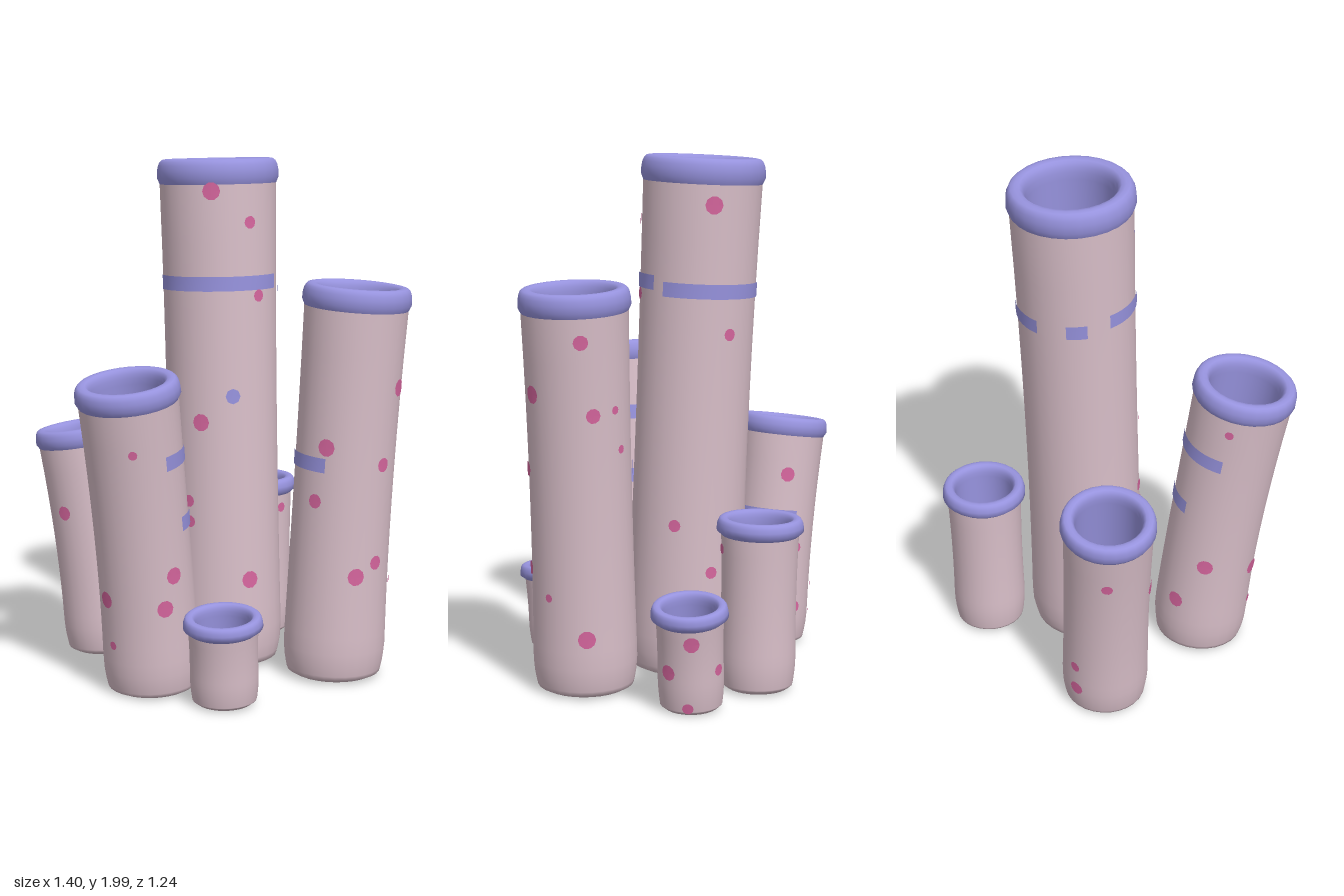
import * as THREE from 'three';
import { mergeVertices } from 'three/addons/utils/BufferGeometryUtils.js';

const material = (name, color) => Object.assign(new THREE.MeshStandardMaterial({ color }), { name });
const rad = THREE.MathUtils.degToRad;

// Outer body radius at height y: slightly waisted, rounded in at the foot
function bodyRadius({ r, h }, y) {
  const k = Math.min(0.15, 0.35 * h);
  const foot = 1 - 0.13 * (1 - Math.min(y / k, 1)) ** 2;
  return r * foot * (0.95 + 0.05 * (2 * y / h - 1) ** 2);
}

// Lean an upright geometry along the tube's curved axis, tilting its cross-sections too
function lean({ x0, z0, dx, dz, h }, geometry) {
  const p = geometry.attributes.position;
  for (let i = 0; i < p.count; i++) {
    const x = p.getX(i), y = p.getY(i), z = p.getZ(i);
    const s = Math.max(y / h, 0), f = s ** 1.3;
    const slope = 1.3 * s ** 0.3 / h;
    p.setXYZ(i, x + x0 + dx * f, y - slope * (dx * x + dz * z), z + z0 + dz * f);
  }
  geometry.computeVertexNormals();
  return geometry;
}

// Smooth lathe without a seam
function turned(t, profile) {
  const g = new THREE.LatheGeometry(profile, 28);
  g.deleteAttribute('uv');
  g.deleteAttribute('normal');
  return lean(t, mergeVertices(g, 1e-5));
}

// Wrap a flat patch onto the tube wall; 0 degrees faces the front, 90 faces +x
function wrapped(t, flat, degrees, y0) {
  const p = flat.attributes.position;
  for (let i = 0; i < p.count; i++) {
    const y = y0 + p.getY(i), r = bodyRadius(t, y) + 0.005;
    const a = rad(degrees) + p.getX(i) / t.r;
    p.setXYZ(i, r * Math.sin(a), y, r * Math.cos(a));
  }
  return lean(t, flat);
}

// Closed foot and outer wall up to the lip
function bodyGeometry(t, lipY) {
  const profile = [new THREE.Vector2(0, 0.018), new THREE.Vector2(bodyRadius(t, 0) * 0.9, 0.012)];
  for (let i = 0; i <= 14; i++) {
    const y = 0.025 + (lipY - 0.025) * (i / 14) ** 1.7;
    profile.push(new THREE.Vector2(bodyRadius(t, y), y));
  }
  return turned(t, profile);
}

// Rounded lip running down into the closed hollow
function lipGeometry(t, lipY) {
  const R = t.r + (t.h < 0.7 ? 0.015 : 0.008);
  const inner = R * 0.69, half = (R - inner) / 2, tall = t.h - lipY;
  const floor = Math.min(0.22, t.h * 0.35);
  const profile = [new THREE.Vector2(bodyRadius(t, lipY), lipY)];
  for (let i = 0; i <= 10; i++) {
    const a = Math.PI * i / 10, c = Math.cos(a);
    profile.push(new THREE.Vector2(
      inner + half + half * Math.sign(c) * Math.abs(c) ** 0.7,
      t.h - tall * 0.75 * (1 - Math.sin(a) ** 0.8)));
  }
  profile.push(
    new THREE.Vector2(inner, (floor + t.h) / 2), new THREE.Vector2(inner * 0.97, floor + 0.04),
    new THREE.Vector2(inner * 0.85, floor), new THREE.Vector2(0, floor));
  return turned(t, profile);
}

export function createModel() {
  const model = new THREE.Group();
  model.name = 'tubeCluster';
  const skin = material('paleMauve', 0xd9bfc9);
  const blue = material('periwinkle', 0x9793de);
  const pink = material('spotPink', 0xd6669e);

  const addPart = (group, name, geometry, mat) => {
    const mesh = new THREE.Mesh(geometry, mat);
    mesh.name = name;
    group.add(mesh);
  };

  // Foot at (x0, z0), top shifted by (dx, dz), height h, body radius r
  function tube(name, x0, z0, dx, dz, h, r) {
    const t = { x0, z0, dx, dz, h, r };
    const group = new THREE.Group();
    group.name = name;
    const lipY = h - 0.05 - 0.023 * h;
    addPart(group, 'body', bodyGeometry(t, lipY), skin);
    addPart(group, 'lipAndHollow', lipGeometry(t, lipY), blue);
    model.add(group);

    // Painted details, chained onto the tube
    const paint = {
      band(from, to, y) {
        const strip = new THREE.PlaneGeometry(rad(to - from) * r, 0.055, Math.ceil((to - from) / 8), 2);
        addPart(group, 'band', wrapped(t, strip, (from + to) / 2, y), blue);
        return paint;
      },
      spots(size, ...places) {
        for (const [angle, y] of places) {
          addPart(group, 'spot', wrapped(t, new THREE.CircleGeometry(size, 10), angle, y), pink);
        }
        return paint;
      },
      mark(angle, y) {
        addPart(group, 'blueMark', wrapped(t, new THREE.CircleGeometry(0.03, 8), angle, y), blue);
        return paint;
      },
    };
    return paint;
  }

  tube('centreTube', 0.015, -0.11, -0.015, -0.07, 1.99, 0.228)
    .band(-90, 58, 1.52).band(70, 197, 1.5).band(-133, -113, 1.5).mark(0, 1.09)
    .spots(0.034, [-18, 1.87], [-33, 0.99], [15, 0.37], [117, 1.82], [-135, 0.17])
    .spots(0.024, [20, 1.75], [30, 1.47], [-47, 0.6], [-48, 0.68], [140, 1.34], [92, 0.61], [130, 0.43]);

  tube('rightTube', 0.39, 0.17, 0.08, 0.01, 1.53, 0.2)
    .band(-170, -38, 0.86)
    .spots(0.034, [52, 1.16], [-38, 0.93], [5, 0.44], [111, 0.25])
    .spots(0.028, [32, 0.87], [-48, 0.72], [30, 0.49], [114, 1.36], [125, 1.09])
    .spots(0.016, [68, 0.4], [152, 1.1], [160, 0.95]);

  tube('leftTube', -0.33, 0.2, -0.11, 0.11, 1.215, 0.188)
    .band(30, 220, 0.93).band(48, 185, 0.68)
    .spots(0.033, [27, 0.5], [12, 0.38], [-64, 0.41], [-135, 0.45], [-165, 0.25])
    .spots(0.017, [-9, 0.99], [-57, 0.23], [-140, 1.08]);

  tube('backLeftTube', -0.43, -0.33, -0.1, -0.05, 0.925, 0.17)
    .band(35, 135, 0.53)
    .spots(0.029, [-47, 0.6], [116, 0.7], [-165, 0.14])
    .spots(0.022, [-125, 0.72], [-168, 0.25], [115, 0.41], [140, 0.41], [145, 0.17]);

  tube('backTube', 0.22, -0.455, 0, -0.008, 0.665, 0.148)
    .spots(0.02, [32, 0.55]);

  tube('smallRightTube', 0.52, -0.28, 0.045, -0.005, 0.405, 0.127)
    .spots(0.03, [65, 0.18], [108, 0.3])
    .spots(0.022, [100, 0.045], [160, 0.18]);

  tube('smallFrontTube', -0.1, 0.44, -0.012, 0.025, 0.35, 0.134);

  return model;
}
